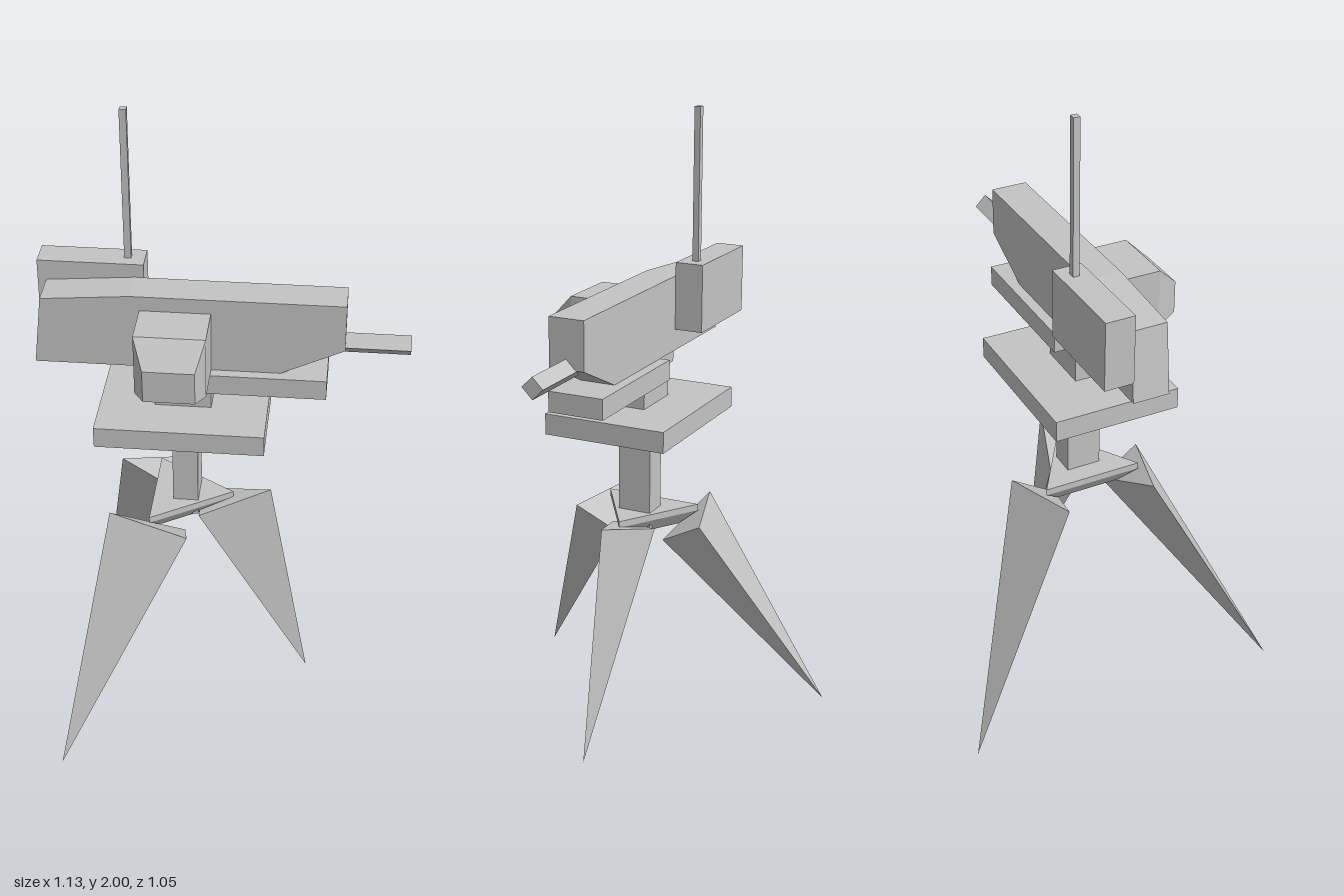
import * as THREE from 'three';
import { ConvexGeometry } from 'three/addons/geometries/ConvexGeometry.js';

export function createModel() {
  const model = new THREE.Group();
  const grey = new THREE.MeshStandardMaterial({ color: 0xc4c4c4 });
  grey.name = 'grey';

  function add(name, geometry) {
    const mesh = new THREE.Mesh(geometry, grey);
    mesh.name = name;
    model.add(mesh);
    return mesh;
  }
  // Box given by its limits on each axis
  function box(name, x0, x1, y0, y1, z0, z1) {
    add(name, new THREE.BoxGeometry(x1 - x0, y1 - y0, z1 - z0))
      .position.set((x0 + x1) / 2, (y0 + y1) / 2, (z0 + z1) / 2);
  }
  // Faceted solid around a set of corners
  function hull(name, corners) {
    add(name, new ConvexGeometry(corners.map((c) => new THREE.Vector3(...c))));
  }
  const rect = (x0, x1, y0, y1, z) => [[x0, y0, z], [x1, y0, z], [x1, y1, z], [x0, y1, z]];

  // Main body: side profile extruded across z
  const profile = [[-0.565, 1.235], [0.18, 1.235], [0.37, 1.325], [0.37, 1.477],
    [-0.27, 1.477], [-0.54, 1.455]];
  const body = new THREE.ExtrudeGeometry(
    new THREE.Shape(profile.map(([x, y]) => new THREE.Vector2(x, y))),
    { depth: 0.114, bevelEnabled: false });
  body.translate(0, 0, -0.059);
  add('body', body);

  // Diamond-section barrel
  const r = 0.034;
  hull('barrel', [0.2, 0.565].flatMap((x) =>
    [[x, 1.323 + r, 0], [x, 1.323, r], [x, 1.323 - r, 0], [x, 1.323, -r]]));

  // Side housing with a tapered front
  hull('sideHousing', [
    ...rect(-0.243, -0.03, 1.235, 1.43, 0.05),
    ...rect(-0.243, -0.03, 1.235, 1.43, 0.2),
    ...rect(-0.208, -0.055, 1.255, 1.358, 0.273),
  ]);

  // Rear box and antenna
  box('rearBox', -0.566, -0.243, 1.303, 1.52, -0.151, -0.059);
  box('antenna', -0.306, -0.285, 1.5, 2, -0.117, -0.097);

  // Mount
  box('rail', -0.135, 0.32, 1.17, 1.235, -0.092, 0.088);
  box('railBlock', -0.24, -0.135, 1.2, 1.235, -0.055, 0.055);
  box('neck', -0.203, -0.03, 1.095, 1.235, -0.055, 0.055);
  box('platform', -0.373, 0.143, 1.03, 1.097, -0.203, 0.2);
  box('column', -0.153, -0.073, 0.68, 1.03, -0.055, 0.055);

  // Triangular hub, narrowing below
  const hubRing = (y, s) => [[0.035, 0], [-0.217, 0.16], [-0.217, -0.16]]
    .map(([x, z]) => [-0.13 + (x + 0.13) * s, y, z * s]);
  hull('hub', [...hubRing(0.736, 1), ...hubRing(0.715, 1), ...hubRing(0.67, 0.65)]);

  // Three pointed legs
  hull('frontLeg', [[0.155, 0.752, 0], [-0.07, 0.688, 0.075], [-0.07, 0.688, -0.075],
    [0.288, 0.005, 0]]);
  for (const side of [1, -1]) {
    hull(side > 0 ? 'leftRearLeg' : 'rightRearLeg', [
      [-0.345, 0.735, 0.145 * side], [-0.092, 0.71, 0.22 * side],
      [-0.113, 0.635, 0.083 * side], [-0.47, 0, 0.525 * side],
    ]);
  }

  return model;
}
